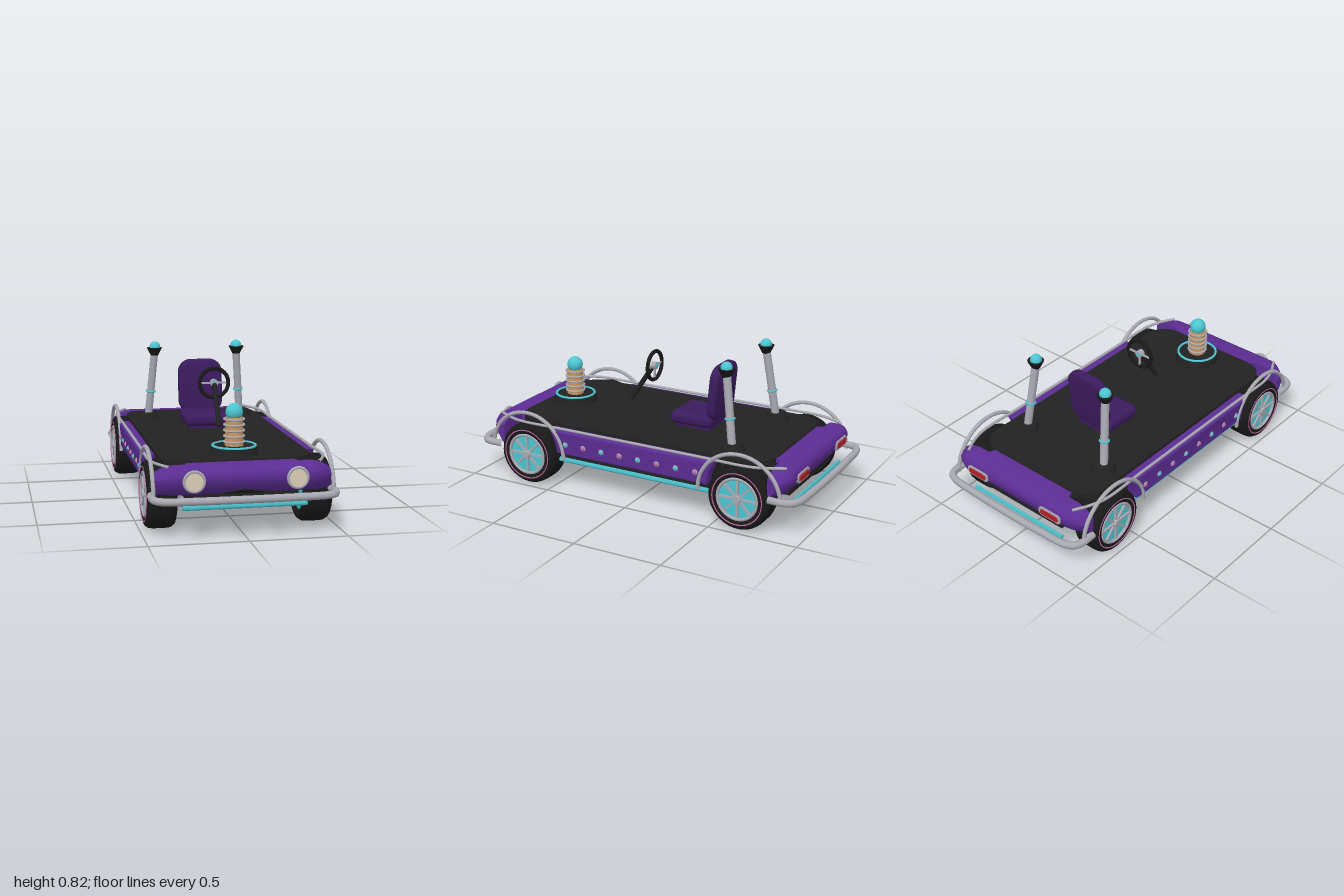
import * as THREE from 'three';
import { toCreasedNormals } from 'three/addons/utils/BufferGeometryUtils.js';
import { RoundedBoxGeometry } from 'three/addons/geometries/RoundedBoxGeometry.js';

const mat = (name, color) => {
  const m = new THREE.MeshStandardMaterial({ color });
  m.name = name;
  return m;
};
const purple = mat('body purple', 0x5c2d94), plum = mat('seat plum', 0x3c1b5e);
const black = mat('deck black', 0x222222), rubber = mat('rubber', 0x191919);
const chrome = mat('chrome', 0xa9a9b2), cyan = mat('cyan', 0x4cc6d2);
const copper = mat('copper', 0xc9955c), cream = mat('lamp cream', 0xdccfb8);
const red = mat('tail red', 0xb81f2a), pink = mat('pink', 0xc264a4);
const V = (x, y, z) => new THREE.Vector3(x, y, z);
const P = (x, y) => new THREE.Vector2(x, y);

function add(parent, name, geo, material, x = 0, y = 0, z = 0) {
  const m = new THREE.Mesh(geo, material);
  m.name = name;
  m.position.set(x, y, z);
  parent.add(m);
  return m;
}
const cyl = (rt, rb, h, n = 24) => new THREE.CylinderGeometry(rt, rb, h, n);
const ring = (r, t) => new THREE.TorusGeometry(r, t, 8, 32);
const flatRing = (r, t) => ring(r, t).rotateX(Math.PI / 2);
const box = (w, h, d) => new THREE.BoxGeometry(w, h, d);
const ball = (r) => new THREE.SphereGeometry(r, 20, 14);
const tube = (pts, r, seg = 48) =>
  new THREE.TubeGeometry(new THREE.CatmullRomCurve3(pts, false, 'centripetal'), seg, r, 8);

// straight rod between two points
function rod(parent, name, a, b, r, material, n = 16) {
  const m = add(parent, name, cyl(r, r, a.distanceTo(b), n), material);
  m.position.copy(a).lerp(b, 0.5);
  m.quaternion.setFromUnitVectors(V(0, 1, 0), b.clone().sub(a).normalize());
  return m;
}

function roundRect(w, h, r) {
  const s = new THREE.Shape(), x = w / 2, y = h / 2;
  s.moveTo(-x + r, -y).lineTo(x - r, -y);
  s.absarc(x - r, -y + r, r, -Math.PI / 2, 0);
  s.absarc(x - r, y - r, r, 0, Math.PI / 2);
  s.absarc(-x + r, y - r, r, Math.PI / 2, Math.PI);
  s.absarc(-x + r, -y + r, r, Math.PI, Math.PI * 1.5);
  return s;
}

// nose or tail panel: side profile swept across, corners pulled back and down
function endPanel() {
  const profile = new THREE.Shape([P(0.77, 0.215), P(0.87, 0.215), P(0.905, 0.25), P(0.922, 0.29),
    P(0.92, 0.32), P(0.905, 0.342), P(0.88, 0.354), P(0.77, 0.354)]);
  const g = new THREE.ExtrudeGeometry(profile, { depth: 0.91, steps: 60, bevelEnabled: false });
  g.translate(0, 0, -0.455).rotateY(-Math.PI / 2);
  const p = g.attributes.position;
  for (let i = 0; i < p.count; i++) {
    const ax = Math.abs(p.getX(i)), z = p.getZ(i), y = p.getY(i);
    const c = Math.max(0, (ax - 0.34) / 0.115);
    if (z < 0.8) p.setZ(i, ax > 0.28 ? 0.81 : 0.77);
    else p.setZ(i, Math.max(0.825, z - 0.06 * c * c));
    if (y > 0.3) p.setY(i, y - 0.04 * c * c);
  }
  g.deleteAttribute('normal');
  return toCreasedNormals(g, 0.6);
}

// side panel with wheel-arch cutouts at both ends
function sidePanel() {
  const s = new THREE.Shape();
  s.moveTo(-0.45, 0.225).lineTo(0.45, 0.225);
  s.quadraticCurveTo(0.46, 0.29, 0.49, 0.335);
  s.lineTo(-0.49, 0.335);
  s.quadraticCurveTo(-0.46, 0.29, -0.45, 0.225);
  const g = new THREE.ExtrudeGeometry(s, { depth: 0.04, bevelThickness: 0.017, bevelSize: 0.015, bevelSegments: 3 });
  return toCreasedNormals(g.translate(0, 0, -0.02).rotateY(-Math.PI / 2), 0.6);
}

// wheel with its outer face towards +x
function wheel() {
  const w = new THREE.Group();
  const turn = (g) => g.rotateZ(-Math.PI / 2);
  const half = [P(0.175, 0.035), P(0.172, 0.055), P(0.16, 0.072), P(0.145, 0.077), P(0.118, 0.073), P(0.113, 0.055)];
  const profile = [...half.map((p) => P(p.x, -p.y)).reverse(), ...half];
  add(w, 'tyre', turn(new THREE.LatheGeometry(profile, 40)), rubber);
  add(w, 'wheelDisc', turn(cyl(0.115, 0.115, 0.125, 32)), cyan);
  add(w, 'tyreStripe', ring(0.141, 0.0035).rotateY(Math.PI / 2), pink, 0.076);
  add(w, 'rim', ring(0.112, 0.009).rotateY(Math.PI / 2), chrome, 0.07);
  add(w, 'hub', turn(cyl(0.02, 0.028, 0.03)), chrome, 0.068);
  for (let i = 0; i < 8; i++) {
    add(w, 'spoke', box(0.014, 0.09, 0.012).translate(0, 0.065, 0), chrome, 0.066).rotation.x = i * Math.PI / 4;
  }
  return w;
}

export function createModel() {
  const car = new THREE.Group();
  car.name = 'openCart';

  // deck and chassis
  const deck = new THREE.ExtrudeGeometry(roundRect(0.78, 1.55, 0.13), { depth: 0.03, bevelEnabled: false, curveSegments: 8 });
  add(car, 'deck', deck.rotateX(-Math.PI / 2), black, 0, 0.332, 0);
  add(car, 'chassis', box(0.56, 0.165, 1.72), black, 0, 0.2525, 0);
  add(car, 'sillBox', box(0.8, 0.165, 0.92), black, 0, 0.2525, 0);

  // both ends: body panel, bumper bar and underglow
  for (const e of [1, -1]) {
    const end = new THREE.Group();
    end.name = e > 0 ? 'frontEnd' : 'rearEnd';
    if (e < 0) end.rotation.y = Math.PI;
    car.add(end);
    add(end, 'endPanel', endPanel(), purple);
    const half = [V(0.46, 0.205, 0.82), V(0.46, 0.205, 0.9), V(0.445, 0.205, 0.94), V(0.4, 0.205, 0.965), V(0.25, 0.205, 0.976)];
    const bar = [...half, V(0, 0.205, 0.98), ...half.map((p) => V(-p.x, p.y, p.z)).reverse()];
    add(end, 'bumperBar', tube(bar, 0.02, 80), chrome);
    add(end, 'endGlow', cyl(0.014, 0.014, 0.63, 4).rotateZ(Math.PI / 2), cyan, 0, 0.155, 0.895);
    if (e > 0) {
      const tri = new THREE.Shape([P(-0.13, 0.218), P(0.13, 0.218), P(0, 0.252)]);
      const vent = add(end, 'lowerVent', new THREE.ExtrudeGeometry(tri, { depth: 0.006, bevelEnabled: false }), black);
      vent.geometry.translate(0, -0.215, 0);
      vent.position.set(0, 0.215, 0.872);
      vent.rotation.x = 0.78;
    }
    for (const s of [1, -1]) {
      if (e > 0) {
        add(end, 'headlightRim', ring(0.05, 0.008), chrome, s * 0.26, 0.29, 0.924);
        add(end, 'headlight', cyl(0.046, 0.046, 0.03, 32).rotateX(Math.PI / 2), cream, s * 0.26, 0.29, 0.914);
      } else {
        const lamp = (w, h, d) => new THREE.ExtrudeGeometry(roundRect(w, h, h * 0.45), { depth: d, bevelEnabled: false });
        add(end, 'tailLightFrame', lamp(0.15, 0.052, 0.025), chrome, s * 0.26, 0.29, 0.902);
        add(end, 'tailLight', lamp(0.12, 0.03, 0.028), red, s * 0.26, 0.29, 0.904);
      }
    }
  }

  // both sides: panel, studs, rails, underglow, wheels and hoops
  for (const s of [1, -1]) {
    add(car, 'sidePanel', sidePanel(), purple, s * 0.42);
    add(car, 'sideGlow', cyl(0.014, 0.014, 0.95, 4).rotateX(Math.PI / 2), cyan, s * 0.4, 0.158, 0);
    for (let i = 0; i < 8; i++) {
      const z = 0.4 - i * 0.1143;
      add(car, 'studBezel', ring(0.012, 0.004).rotateY(Math.PI / 2), chrome, s * 0.457, 0.272, z);
      add(car, 'stud', new THREE.SphereGeometry(0.012, 12, 8), i % 2 ? pink : cyan, s * 0.457, 0.272, z);
    }
    const rail = [V(s * 0.375, 0.357, 0.88), V(s * 0.42, 0.357, 0.79), V(s * 0.445, 0.357, 0.7), V(s * 0.445, 0.357, 0.4)];
    add(car, 'sideRail', tube([...rail, ...rail.map((p) => V(p.x, p.y, -p.z)).reverse()], 0.008, 80), chrome);
    for (const e of [1, -1]) {
      const w = wheel();
      w.name = (e > 0 ? 'front' : 'rear') + (s > 0 ? 'LeftWheel' : 'RightWheel');
      w.position.set(s * 0.398, 0.176, e * 0.65);
      if (s < 0) w.rotation.y = Math.PI;
      car.add(w);
      const hoop = [];
      for (let i = 0; i <= 12; i++) {
        const a = Math.PI * i / 12;
        hoop.push(V(s * 0.455, 0.185 + 0.23 * Math.sin(a), e * 0.65 + 0.235 * Math.cos(a)));
      }
      add(car, 'wheelHoop', tube(hoop, 0.011), chrome);
    }
  }

  // seat
  add(car, 'seatCushion', new RoundedBoxGeometry(0.255, 0.07, 0.25, 4, 0.03), plum, 0, 0.413, -0.19);
  add(car, 'seatFoot', box(0.2, 0.03, 0.2), plum, 0, 0.373, -0.2);
  const backGeo = new THREE.ExtrudeGeometry(roundRect(0.225, 0.28, 0.06), { depth: 0.02, bevelThickness: 0.016, bevelSize: 0.015, bevelSegments: 4 });
  add(car, 'seatBack', toCreasedNormals(backGeo.translate(0, 0, -0.01), 0.7), plum, 0, 0.575, -0.325).rotation.x = -0.1;

  // steering wheel and column
  rod(car, 'steeringColumn', V(0, 0.435, 0.245), V(0, 0.645, 0.105), 0.014, black);
  add(car, 'steeringWheel', ring(0.08, 0.011), rubber, 0, 0.65, 0.095);
  add(car, 'steeringCrossbar', box(0.15, 0.01, 0.008), chrome, 0, 0.65, 0.095);
  add(car, 'steeringSpoke', box(0.01, 0.075, 0.008), chrome, 0, 0.613, 0.095);
  add(car, 'steeringHub', cyl(0.021, 0.021, 0.03).rotateX(Math.PI / 2), chrome, 0, 0.65, 0.097);
  add(car, 'steeringCap', cyl(0.011, 0.011, 0.038).rotateX(Math.PI / 2), cyan, 0, 0.65, 0.097);

  // front coil with ball
  const coil = new THREE.Group();
  coil.name = 'frontCoil';
  coil.position.set(0, 0, 0.625);
  car.add(coil);
  add(coil, 'coilBase', cyl(0.115, 0.125, 0.045, 32), black, 0, 0.382, 0);
  add(coil, 'coilBaseRing', flatRing(0.11, 0.007), cyan, 0, 0.405, 0);
  add(coil, 'coilCore', cyl(0.044, 0.048, 0.15), copper, 0, 0.475, 0);
  for (let i = 0; i < 5; i++) add(coil, 'coilTurn', flatRing(0.051, 0.006), chrome, 0, 0.425 + i * 0.029, 0);
  add(coil, 'coilBall', ball(0.045), cyan, 0, 0.577, 0);

  // leaning rear posts
  for (const s of [1, -1]) {
    const post = new THREE.Group();
    post.name = s > 0 ? 'leftPost' : 'rightPost';
    car.add(post);
    const a = V(s * 0.277, 0.37, -0.525), b = V(s * 0.245, 0.755, -0.472);
    add(post, 'postBase', cyl(0.055, 0.07, 0.035, 20), black, s * 0.28, 0.376, -0.53);
    rod(post, 'postRod', a, b, 0.022, chrome);
    const band = add(post, 'postBand', flatRing(0.024, 0.006), cyan);
    band.position.copy(a).lerp(b, 0.4);
    band.quaternion.setFromUnitVectors(V(0, 1, 0), b.clone().sub(a).normalize());
    add(post, 'postCup', cyl(0.045, 0.022, 0.045, 16), rubber, s * 0.245, 0.763, -0.47);
    add(post, 'postBall', ball(0.032), cyan, s * 0.243, 0.79, -0.469);
  }
  return car;
}
